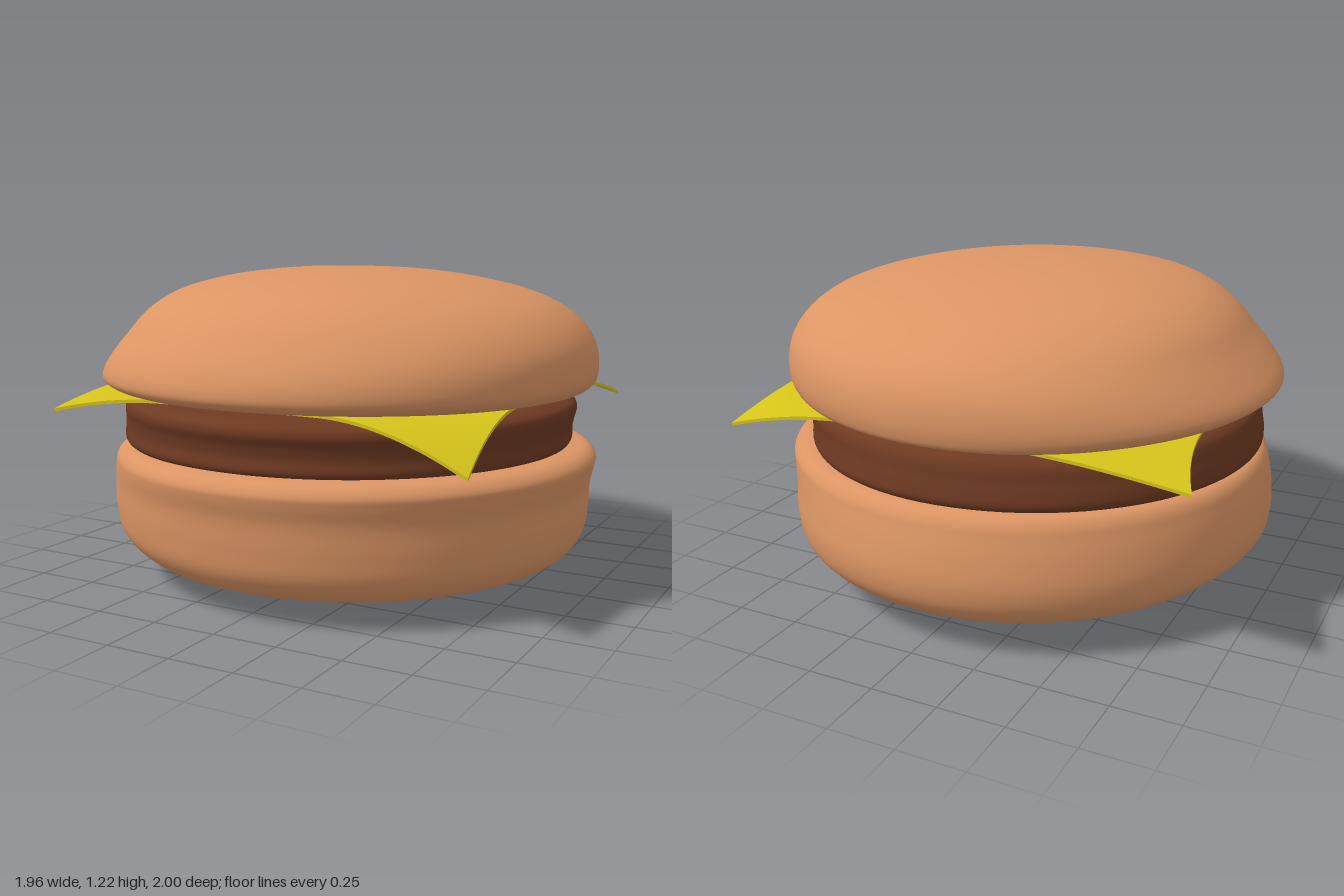
import * as THREE from 'three';

const SEGMENTS = 96, ROWS = 60;

// Closed round body blended from four [radius, height] profiles (bottom to top),
// one each for the left (+x), front (+z), right (-x) and back (-z) directions.
function roundBody(name, color, profiles) {
  const curves = profiles.map(p => new THREE.CatmullRomCurve3(
    p.map(([r, y]) => new THREE.Vector3(r, y, 0)), false, 'centripetal'));
  const rings = curves.map(c => c.getPoints(ROWS));
  const pos = [], index = [];
  for (let j = 0; j <= ROWS; j++) {
    for (let i = 0; i < SEGMENTS; i++) {
      const a = i / SEGMENTS * Math.PI * 2, c = Math.cos(a), s = Math.sin(a);
      const px = rings[c >= 0 ? 0 : 2][j], pz = rings[s >= 0 ? 1 : 3][j];
      const r = Math.max(0, px.x * c * c + pz.x * s * s);
      pos.push(r * c, px.y * c * c + pz.y * s * s, r * s);
      if (j === ROWS) continue;
      const p = j * SEGMENTS + i, q = j * SEGMENTS + (i + 1) % SEGMENTS;
      index.push(p, p + SEGMENTS, q, q, p + SEGMENTS, q + SEGMENTS);
    }
  }
  const geo = new THREE.BufferGeometry();
  geo.setAttribute('position', new THREE.Float32BufferAttribute(pos, 3));
  geo.setIndex(index);
  geo.computeVertexNormals();
  const mesh = new THREE.Mesh(geo, new THREE.MeshStandardMaterial({ color }));
  mesh.name = name;
  return mesh;
}

// Thin square slice whose four corners are pulled down by different amounts
function cheeseSlice() {
  const half = 0.825, level = 0.756, thick = 0.012;
  const corners = {
    '1,1': [0.845, 0.592, 0.805], '-1,1': [-0.76, 0.706, 0.91],
    '1,-1': [0.87, 0.664, -0.825], '-1,-1': [-0.94, 0.708, -0.83],
  };
  const geo = new THREE.BoxGeometry(2 * half, thick, 2 * half, 40, 1, 40);
  const p = geo.attributes.position;
  for (let i = 0; i < p.count; i++) {
    const x = p.getX(i), y = p.getY(i), z = p.getZ(i);
    const sx = x < 0 ? -1 : 1, sz = z < 0 ? -1 : 1;
    const [cx, cy, cz] = corners[`${sx},${sz}`];
    const t = Math.max(0, (Math.abs(x) + Math.abs(z)) / half - 1.36) / 0.64;
    const w = t * t;
    p.setXYZ(i, x + w * (cx - sx * half), level + y + w * (cy - level), z + w * (cz - sz * half));
  }
  geo.computeVertexNormals();
  const mesh = new THREE.Mesh(geo, new THREE.MeshStandardMaterial({ color: 0xd6c31a }));
  mesh.name = 'cheeseSlice';
  return mesh;
}

export function createModel() {
  const group = new THREE.Group();
  group.name = 'hamburger';
  const bun = 0xdc9564;

  group.add(roundBody('bottomBun', bun, [
    [[0, 0.003], [0.3, 0.012], [0.55, 0.035], [0.74, 0.068], [0.87, 0.115], [0.93, 0.18], [0.95, 0.27],
      [0.956, 0.38], [0.975, 0.46], [0.98, 0.495], [0.95, 0.528], [0.87, 0.54], [0, 0.54]],
    [[0, 0.003], [0.3, 0.012], [0.55, 0.035], [0.72, 0.065], [0.84, 0.11], [0.9, 0.18], [0.92, 0.28],
      [0.932, 0.39], [0.952, 0.46], [0.955, 0.49], [0.93, 0.525], [0.87, 0.54], [0, 0.54]],
    [[0, 0.003], [0.3, 0.012], [0.55, 0.035], [0.75, 0.075], [0.88, 0.13], [0.95, 0.2], [0.97, 0.28],
      [0.964, 0.38], [0.946, 0.46], [0.932, 0.5], [0.91, 0.522], [0.86, 0.532], [0, 0.54]],
    [[0, 0.003], [0.3, 0.012], [0.55, 0.03], [0.76, 0.06], [0.9, 0.115], [0.98, 0.19], [1.0, 0.28],
      [0.985, 0.38], [0.962, 0.46], [0.95, 0.495], [0.925, 0.525], [0.87, 0.537], [0, 0.54]],
  ]));

  group.add(roundBody('patty', 0x6e3a22, [
    [[0, 0.53], [0.82, 0.53], [0.865, 0.535], [0.88, 0.555], [0.882, 0.6], [0.89, 0.64], [0.9, 0.68],
      [0.892, 0.705], [0.86, 0.722], [0.78, 0.737], [0, 0.745]],
    [[0, 0.53], [0.82, 0.53], [0.87, 0.535], [0.885, 0.555], [0.88, 0.6], [0.888, 0.64], [0.905, 0.68],
      [0.9, 0.705], [0.87, 0.725], [0.79, 0.738], [0, 0.745]],
    [[0, 0.53], [0.84, 0.53], [0.9, 0.535], [0.92, 0.555], [0.922, 0.6], [0.914, 0.64], [0.906, 0.68],
      [0.895, 0.705], [0.865, 0.725], [0.79, 0.738], [0, 0.745]],
    [[0, 0.53], [0.84, 0.53], [0.9, 0.538], [0.915, 0.56], [0.91, 0.6], [0.9, 0.64], [0.893, 0.68],
      [0.88, 0.705], [0.85, 0.722], [0.78, 0.737], [0, 0.745]],
  ]));

  group.add(cheeseSlice());

  group.add(roundBody('topBun', bun, [
    [[0, 0.745], [0.6, 0.745], [0.86, 0.748], [0.945, 0.765], [0.975, 0.8], [0.98, 0.87], [0.965, 0.94],
      [0.92, 1.01], [0.84, 1.075], [0.73, 1.125], [0.57, 1.168], [0.38, 1.2], [0.18, 1.217], [0, 1.22]],
    [[0, 0.745], [0.6, 0.748], [0.85, 0.757], [0.96, 0.773], [0.995, 0.798], [0.997, 0.84], [0.975, 0.9],
      [0.92, 0.98], [0.85, 1.055], [0.75, 1.12], [0.6, 1.165], [0.4, 1.2], [0.19, 1.217], [0, 1.22]],
    [[0, 0.745], [0.6, 0.748], [0.85, 0.757], [0.95, 0.775], [0.982, 0.802], [0.972, 0.835], [0.93, 0.89],
      [0.86, 0.97], [0.78, 1.06], [0.67, 1.13], [0.52, 1.177], [0.36, 1.203], [0.18, 1.217], [0, 1.22]],
    [[0, 0.745], [0.6, 0.745], [0.86, 0.747], [0.93, 0.757], [0.944, 0.79], [0.947, 0.85], [0.93, 0.925],
      [0.88, 1.0], [0.79, 1.068], [0.67, 1.125], [0.52, 1.165], [0.36, 1.195], [0.18, 1.214], [0, 1.22]],
  ]));

  return group;
}
